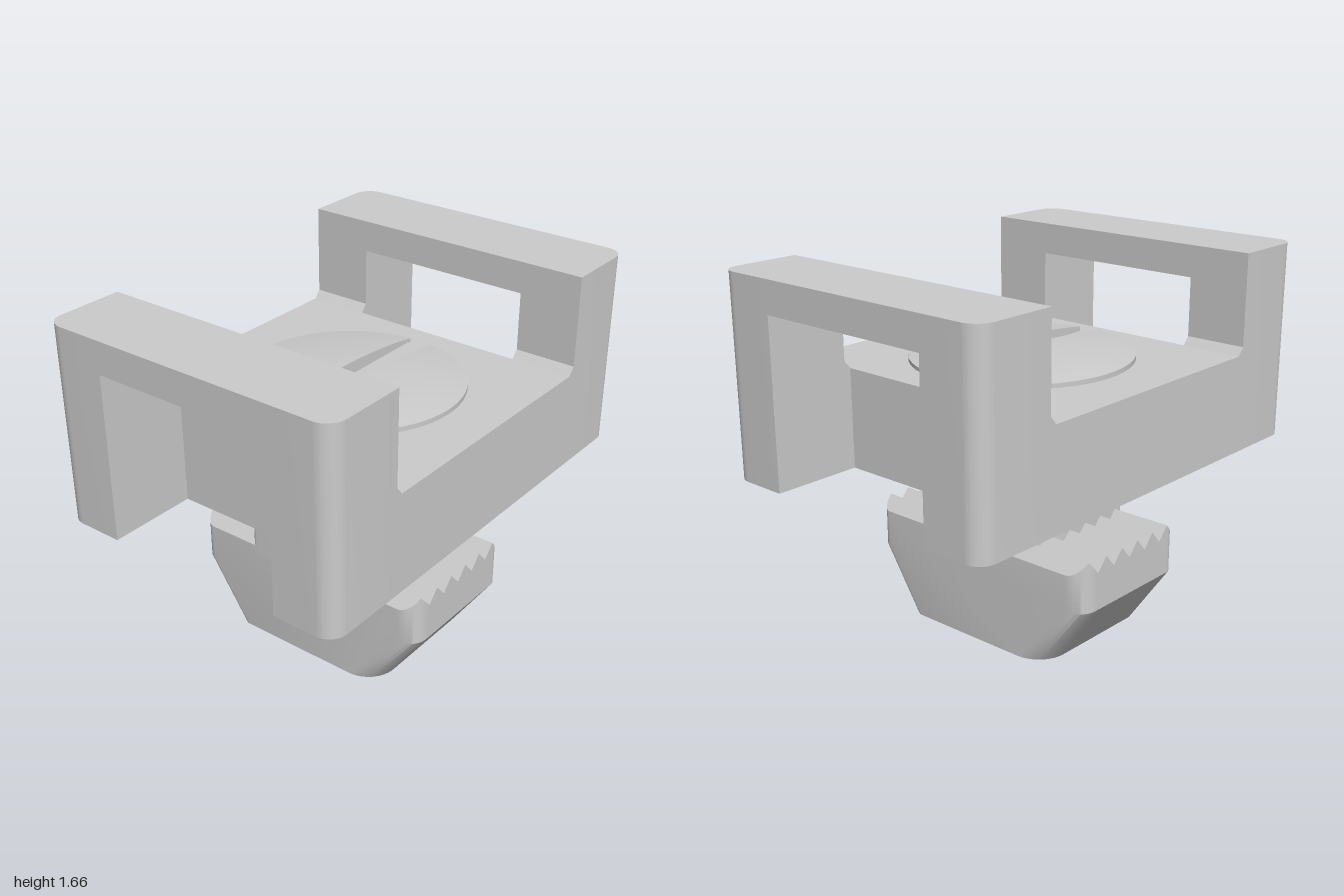
import * as THREE from 'three';
import { toCreasedNormals } from 'three/addons/utils/BufferGeometryUtils.js';

const mat = new THREE.MeshStandardMaterial({ color: 0xcccccc });
const matDouble = new THREE.MeshStandardMaterial({ color: 0xcccccc, side: THREE.DoubleSide });

function add(parent, name, geometry, material = mat) {
  const mesh = new THREE.Mesh(geometry, material);
  mesh.name = name;
  parent.add(mesh);
  return mesh;
}

// Box given by its limits
function box(x0, x1, y0, y1, z0, z1) {
  return new THREE.BoxGeometry(x1 - x0, y1 - y0, z1 - z0)
    .translate((x0 + x1) / 2, (y0 + y1) / 2, (z0 + z1) / 2);
}

// Rectangle in plan (shape y = -z) with its own radius at each corner:
// [x0 y0, x1 y0, x1 y1, x0 y1]
function plan(x0, y0, x1, y1, [a, b, c, d]) {
  const s = new THREE.Shape();
  s.moveTo(x0 + a, y0);
  s.lineTo(x1 - b, y0);
  if (b) s.absarc(x1 - b, y0 + b, b, -Math.PI / 2, 0);
  s.lineTo(x1, y1 - c);
  if (c) s.absarc(x1 - c, y1 - c, c, 0, Math.PI / 2);
  s.lineTo(x0 + d, y1);
  if (d) s.absarc(x0 + d, y1 - d, d, Math.PI / 2, Math.PI);
  s.lineTo(x0, y0 + a);
  if (a) s.absarc(x0 + a, y0 + a, a, Math.PI, Math.PI * 1.5);
  return s;
}

// Plan shape raised from y0 to y1
function raise(shape, y0, y1) {
  const g = new THREE.ExtrudeGeometry(shape, { depth: y1 - y0, bevelEnabled: false, curveSegments: 10 });
  return toCreasedNormals(g.rotateX(-Math.PI / 2).translate(0, y0, 0), 0.5);
}

// Skin over cross-sections along x; ring(x) gives [z, y] points, one side may stay open
function loft(xs, ring, open = -1) {
  const rings = xs.map(x => ring(x).map(([z, y]) => [x, y, z]));
  const n = rings[0].length, pos = [];
  for (let i = 0; i < xs.length - 1; i++) {
    for (let k = 0; k < n; k++) {
      if (k === open) continue;
      const m = (k + 1) % n, p = rings[i], q = rings[i + 1];
      pos.push(...p[k], ...p[m], ...q[m], ...p[k], ...q[m], ...q[k]);
    }
  }
  const first = rings[0], last = rings[rings.length - 1];
  for (let k = 1; k < n - 1; k++) {
    pos.push(...first[0], ...first[k + 1], ...first[k], ...last[0], ...last[k], ...last[k + 1]);
  }
  const g = new THREE.BufferGeometry();
  g.setAttribute('position', new THREE.Float32BufferAttribute(pos, 3));
  return toCreasedNormals(g, 0.5);
}

// U-shaped clamp body with an open-bottomed window in each end
function buildBody() {
  const body = new THREE.Group();
  body.name = 'body';
  add(body, 'base', box(-0.6, 0.6, 0.79, 1.225, -0.69, 0.69));
  // strip between base and post, with the chamfer on top
  const strip = new THREE.Shape([[0.6, 0.79], [0.63, 0.79], [0.63, 1.26], [0.6, 1.225]]
    .map(p => new THREE.Vector2(...p)));
  const stripGeo = new THREE.ExtrudeGeometry(strip, { depth: 0.28, bevelEnabled: false });
  for (let e = 0; e < 2; e++) {
    const end = new THREE.Group();
    end.name = e ? 'rightEnd' : 'leftEnd';
    end.rotation.y = e * Math.PI;
    add(end, 'backPost', raise(plan(0.63, 0.41, 1, 0.69, [0, 0, 0.08, 0]), 0.79, 1.66));
    add(end, 'frontPost', raise(plan(0.63, -0.69, 1, -0.41, [0, 0.08, 0, 0]), 0.79, 1.66));
    add(end, 'topBar', box(0.63, 1, 1.52, 1.66, -0.41, 0.41));
    add(end, 'frontChamfer', stripGeo).position.z = 0.41;
    add(end, 'backChamfer', stripGeo).position.z = -0.69;
    body.add(end);
  }
  return body;
}

// Slotted screw with a shallow domed head
function buildScrew() {
  const screw = new THREE.Group();
  screw.name = 'screw';
  const R = 0.48;
  const head = new THREE.Group();
  head.name = 'screwHead';
  head.position.y = 1.23;
  head.rotation.z = -0.012;
  const half = (slotZ) => {
    const X = Math.sqrt(R * R - slotZ * slotZ), xs = [];
    for (let i = 0; i <= 32; i++) xs.push(-X * Math.cos(Math.PI * i / 32));
    return loft(xs, x => {
      const edge = Math.sign(slotZ) * Math.sqrt(Math.max(R * R - x * x, slotZ * slotZ));
      const za = Math.max(edge, slotZ), zb = Math.min(edge, slotZ), pts = [];
      for (let j = 0; j < 8; j++) {
        const z = zb + (za - zb) * j / 8;
        pts.push([z, 0.055 - 0.038 * (x * x + z * z) / (R * R)]);
      }
      const top = 0.055 - 0.038 * (x * x + za * za) / (R * R);
      return [[za, top], [za, -0.004], [zb, -0.004], ...pts];
    });
  };
  add(head, 'frontHeadHalf', half(0.07));
  add(head, 'backHeadHalf', half(-0.045));
  screw.add(head);
  add(screw, 'slotFloor', new THREE.CylinderGeometry(0.46, 0.46, 0.03, 48).translate(0, 1.213, 0));
  add(screw, 'collar', new THREE.CylinderGeometry(0.22, 0.22, 0.06, 40).translate(0, 0.77, 0));
  add(screw, 'shaftEnd', new THREE.CylinderGeometry(0.15, 0.15, 0.3, 40).translate(0, 0.16, 0));
  return screw;
}

// Twist-in nut: tapered wings with toothed tops and two opposite rounded corners
function buildNut() {
  const nut = new THREE.Group();
  nut.name = 'nut';
  const x0 = -0.33, x1 = 0.3, pitch = (x1 - x0) / 6;
  const tooth = x => {
    const t = ((x - x0) / pitch + 1e-6) % 1;
    return 0.465 + 0.06 * (1 - Math.abs(2 * t - 1));
  };
  // how far a rounded corner of radius r pulls back at distance d from the side
  const drop = (d, r) => d >= r ? 0 : r - Math.sqrt(Math.max(0, r * r - (r - d) ** 2));
  const front = (x, len, big, small) => len - drop(x - x0, big) - drop(x1 - x, small);
  const back = (x, len, big, small) => -len + drop(x1 - x, big) + drop(x - x0, small);
  const xs = [];
  for (let i = 0; i <= 48; i++) xs.push(x0 + (x1 - x0) * i / 48);
  for (const d of [0.002, 0.006]) xs.push(x0 + d, x1 - d);
  xs.sort((a, b) => a - b);

  const bottomFront = x => front(x, 0.375, 0.14, 0.03);
  const bottomBack = x => back(x, 0.375, 0.14, 0.03);
  add(nut, 'wings', loft(xs, x => {
    const zf = front(x, 0.575, 0.09, 0.04), zb = back(x, 0.58, 0.09, 0.04), y = tooth(x);
    return [[zf, y], [zf, 0.3], [bottomFront(x), 0.01], [bottomBack(x), 0.01], [zb, 0.3], [zb, y]];
  }, 2));

  // underside with the countersunk screw hole
  const under = new THREE.Shape([
    ...xs.map(x => new THREE.Vector2(x, bottomBack(x))),
    ...xs.slice().reverse().map(x => new THREE.Vector2(x, bottomFront(x))),
  ]);
  under.holes.push(new THREE.Path().absarc(0, 0, 0.2, 0, Math.PI * 2, true));
  add(nut, 'underside', new THREE.ShapeGeometry(under, 24).rotateX(Math.PI / 2).translate(0, 0.01, 0));
  const sink = [[0.2, 0.01], [0.2, 0], [0.19, 0], [0.18, 0.08], [0.14, 0.08]].map(p => new THREE.Vector2(...p));
  add(nut, 'countersink', toCreasedNormals(new THREE.LatheGeometry(sink, 48), 0.5), matDouble);

  // neck, rounded on the two corners that turn
  add(nut, 'neck', raise(plan(x0, -0.28, x1, 0.3, [0.27, 0.02, 0.27, 0.02]), 0.42, 0.78));
  return nut;
}

export function createModel() {
  const model = new THREE.Group();
  model.name = 'clampWithTwistNut';
  model.add(buildBody(), buildScrew(), buildNut());
  return model;
}
